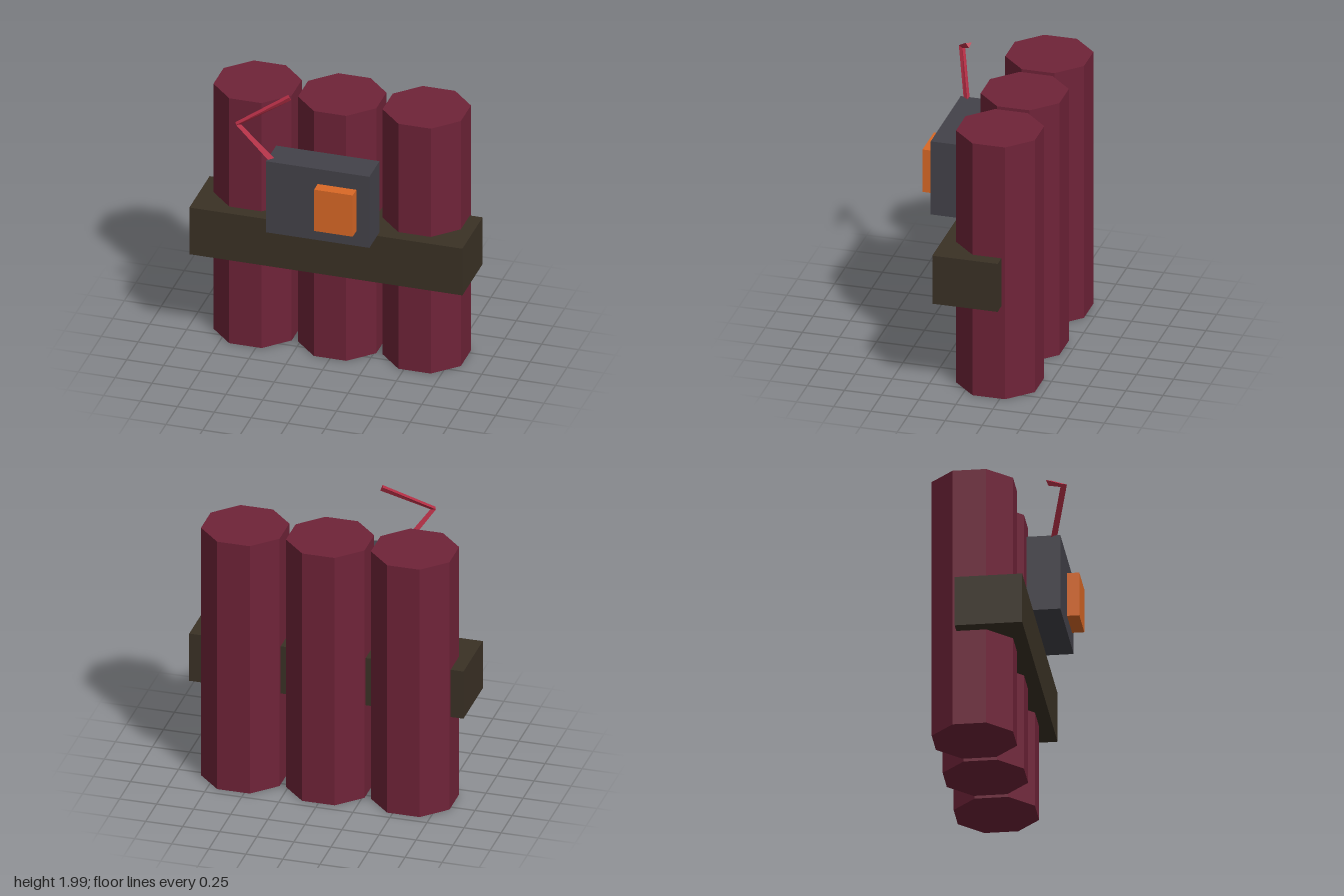
import * as THREE from 'three';

const mat = (name, color) => {
  const m = new THREE.MeshStandardMaterial({ color });
  m.name = name;
  m.flatShading = true;
  return m;
};

// Box given by its minimum and maximum corners
function box(name, material, min, max) {
  const size = max.map((v, i) => v - min[i]);
  const mesh = new THREE.Mesh(new THREE.BoxGeometry(...size), material);
  mesh.position.set(...max.map((v, i) => (v + min[i]) / 2));
  mesh.name = name;
  return mesh;
}

// Three-sided wire swept through three points, mitred at the bend
function wireGeometry(points, r) {
  const across = new THREE.Vector3(0.4, 0, 0.92).normalize();
  const dirs = [points[1].clone().sub(points[0]).normalize(), points[2].clone().sub(points[1]).normalize()];
  const tangents = [dirs[0], dirs[0].clone().add(dirs[1]).normalize(), dirs[1]];
  const pos = [];
  points.forEach((p, i) => {
    const inward = tangents[i].clone().cross(across).normalize();
    for (let k = 0; k < 3; k++) {
      const a = (k * Math.PI * 2) / 3;
      const v = p.clone().addScaledVector(inward, r * Math.cos(a)).addScaledVector(across, -r * Math.sin(a));
      pos.push(v.x, v.y, v.z);
    }
  });
  const index = [0, 2, 1, 6, 7, 8];
  for (let i = 0; i < 2; i++) {
    for (let k = 0; k < 3; k++) {
      const a = i * 3 + k, b = i * 3 + ((k + 1) % 3);
      index.push(a, b, b + 3, a, b + 3, a + 3);
    }
  }
  const g = new THREE.BufferGeometry();
  g.setAttribute('position', new THREE.Float32BufferAttribute(pos, 3));
  g.setIndex(index);
  const flat = g.toNonIndexed();
  flat.computeVertexNormals();
  return flat;
}

export function createModel() {
  const group = new THREE.Group();
  const maroon = mat('maroon', 0x6f2338);
  const strapBrown = mat('darkBrown', 0x3a3125);
  const grey = mat('darkGrey', 0x434249);
  const orange = mat('orange', 0xd96826);
  const red = mat('wireRed', 0xb83047);

  // Three octagonal sticks in a row, flat sides facing front
  const height = 1.81;
  const stickGeo = new THREE.CylinderGeometry(0.287, 0.287, height, 8).rotateY(Math.PI / 8);
  ['rightStick', 'middleStick', 'leftStick'].forEach((name, i) => {
    const stick = new THREE.Mesh(stickGeo, maroon);
    stick.position.set((i - 1) * 0.573, height / 2, -0.175);
    stick.name = name;
    group.add(stick);
  });

  // Strap, control box and its raised panel
  group.add(box('strap', strapBrown, [-0.925, 0.665, -0.26], [0.925, 1.01, 0.18]));
  group.add(box('controlBox', grey, [-0.35, 1.015, 0.137], [0.35, 1.54, 0.357]));
  group.add(box('panel', orange, [0, 1.125, 0.35], [0.262, 1.43, 0.437]));

  // Bent wire rising from the control box
  const wire = new THREE.Mesh(wireGeometry([
    new THREE.Vector3(-0.31, 1.5, 0.3),
    new THREE.Vector3(-0.53, 1.81, 0.4),
    new THREE.Vector3(-0.22, 1.983, 0.265),
  ], 0.023), red);
  wire.name = 'wire';
  group.add(wire);

  return group;
}
